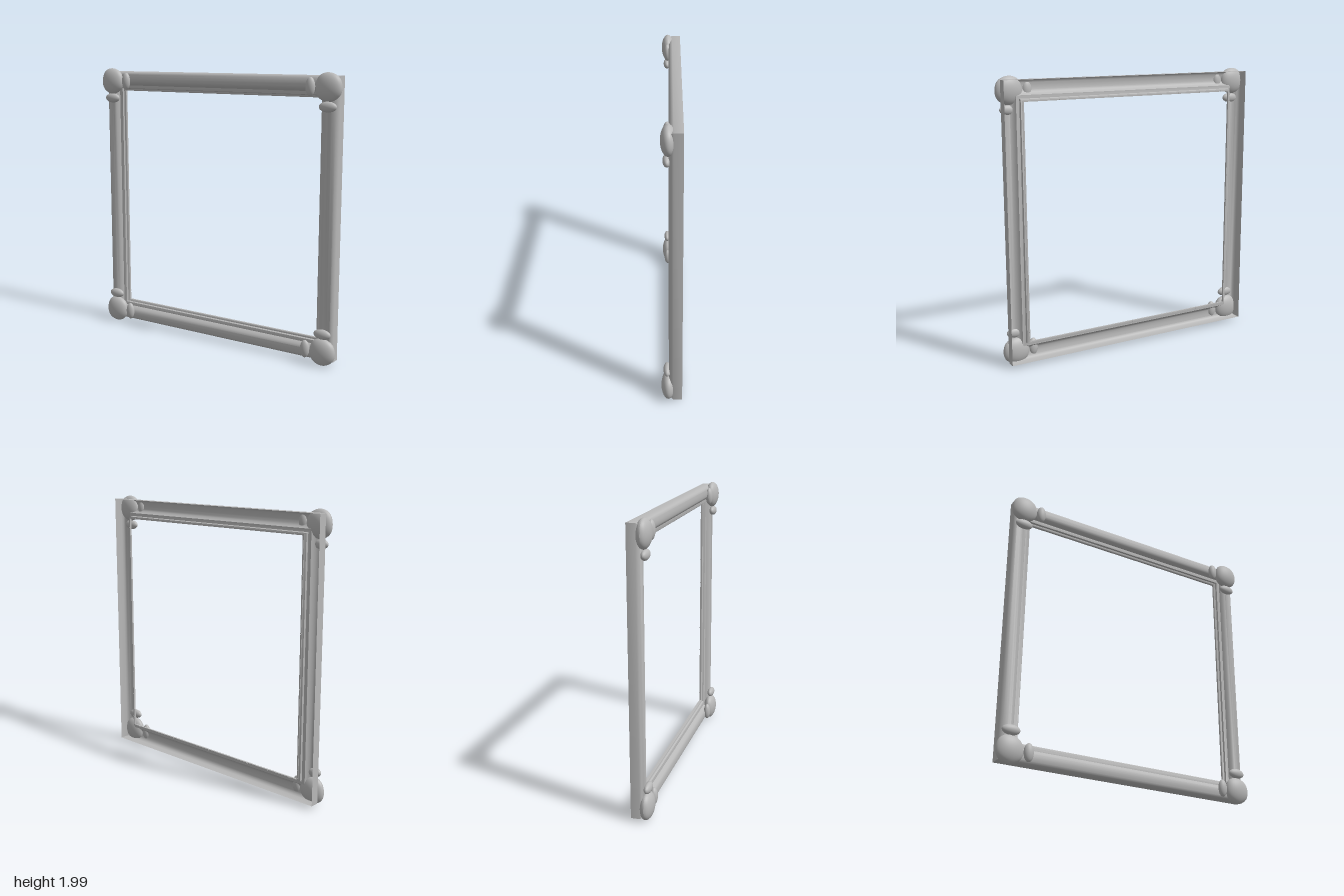
import * as THREE from 'three';
import { toCreasedNormals } from 'three/addons/utils/BufferGeometryUtils.js';

const CY = 1.005;   // height of the frame centre
const HALF = 0.972; // half the outer width

// Moulding cross-section: [distance in from the outer edge, z], from back edge to inner lip
const PROFILE = [
  [0, -0.072], [0, -0.012], [0.008, 0.002], [0.022, 0.011], [0.04, 0.017], [0.056, 0.018],
  [0.072, 0.014], [0.086, 0.006], [0.097, -0.006], [0.104, -0.018],
  [0.11, -0.018], [0.126, -0.022], [0.131, -0.034], [0.139, -0.036], [0.145, -0.04], [0.145, -0.054], [0.136, -0.054],
];

// Sweep the cross-section round the square with mitred corners
function mouldingGeometry() {
  const corners = [[-1, -1], [1, -1], [1, 1], [-1, 1]];
  const point = ([d, z], [sx, sy]) => [sx * (HALF - d), CY + sy * (HALF - d), z];
  const positions = [];
  for (let s = 0; s < 4; s++) {
    const a = corners[s], b = corners[(s + 1) % 4];
    for (let i = 0; i < PROFILE.length - 1; i++) {
      const p = point(PROFILE[i], a), q = point(PROFILE[i], b);
      const r = point(PROFILE[i + 1], b), t = point(PROFILE[i + 1], a);
      positions.push(...p, ...q, ...r, ...p, ...r, ...t);
    }
  }
  const g = new THREE.BufferGeometry();
  g.setAttribute('position', new THREE.Float32BufferAttribute(positions, 3));
  return toCreasedNormals(g, 0.65);
}

// Slightly uneven rounded pebble
function pebbleGeometry(rx, ry, rz, lump) {
  const g = new THREE.SphereGeometry(1, 28, 20);
  const pos = g.attributes.position;
  const v = new THREE.Vector3();
  for (let i = 0; i < pos.count; i++) {
    v.fromBufferAttribute(pos, i);
    const k = 1 + lump * Math.sin(3 * v.x + 1) * Math.cos(4 * v.y - 0.5);
    pos.setXYZ(i, v.x * k * rx, v.y * k * ry, v.z * rz);
  }
  g.computeVertexNormals();
  return g;
}

export function createModel() {
  const model = new THREE.Group();
  const grey = new THREE.MeshStandardMaterial({ color: 0xb8b8b8, side: THREE.DoubleSide });
  grey.name = 'plain grey';

  const add = (parent, name, geometry, x, y, z) => {
    const mesh = new THREE.Mesh(geometry, grey);
    mesh.name = name;
    mesh.position.set(x, y, z);
    parent.add(mesh);
    return mesh;
  };

  add(model, 'frameMoulding', mouldingGeometry(), 0, 0, 0);

  // Corner ornaments: one large pebble and two small beads on each corner
  const pebble = pebbleGeometry(0.096, 0.097, 0.047, 0.03);
  const sideBead = pebbleGeometry(0.034, 0.063, 0.026, 0);
  const uprightBead = pebbleGeometry(0.064, 0.035, 0.026, 0);
  for (const sx of [-1, 1]) {
    for (const sy of [-1, 1]) {
      const corner = new THREE.Group();
      corner.name = (sy > 0 ? 'top' : 'bottom') + (sx > 0 ? 'Left' : 'Right') + 'Ornament';
      const y = CY + sy * 0.9;
      add(corner, 'cornerPebble', pebble, sx * 0.903, y, 0.021);
      add(corner, 'sideBead', sideBead, sx * 0.772, y, 0.026);
      add(corner, 'uprightBead', uprightBead, sx * 0.903, CY + sy * 0.772, 0.028);
      model.add(corner);
    }
  }

  // Tiny pins along the back of the inner lip
  const pin = new THREE.BoxGeometry(0.007, 0.007, 0.005);
  const pins = new THREE.Group();
  pins.name = 'lipPins';
  const edge = HALF - 0.14;
  for (let i = -4; i <= 4; i++) {
    for (const s of [-1, 1]) {
      add(pins, 'pin', pin, i * 0.19, CY + s * edge, -0.054);
      add(pins, 'pin', pin, s * edge, CY + i * 0.19, -0.054);
    }
  }
  model.add(pins);
  return model;
}
